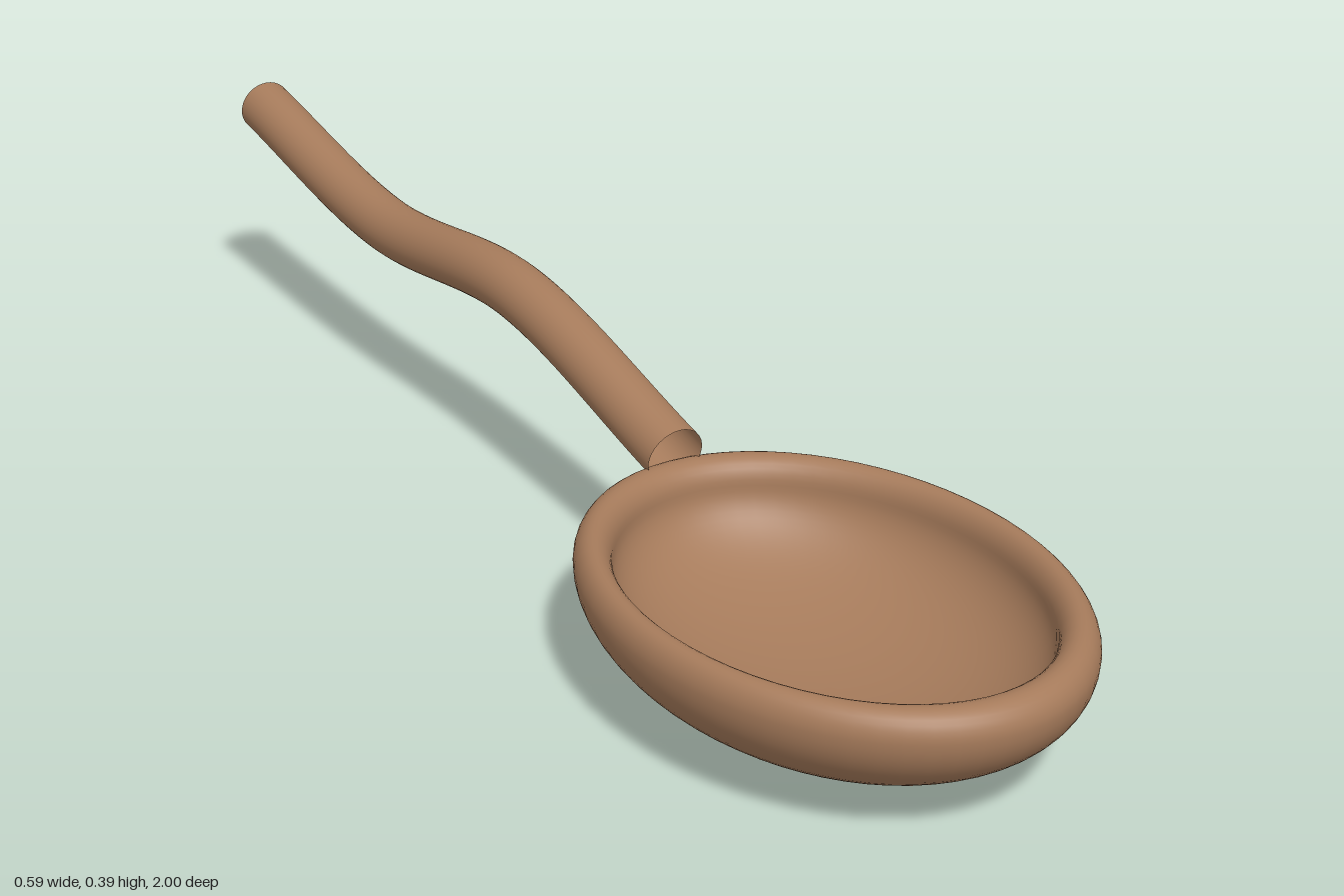
import * as THREE from 'three';

const wood = new THREE.MeshStandardMaterial({ color: 0xa67b5b, side: THREE.DoubleSide });

// Quarter or half ellipse in the profile plane, from angle a0 to a1
function arc(cx, cy, rx, ry, a0, a1, steps) {
  const points = [];
  for (let i = 0; i <= steps; i++) {
    const a = a0 + (a1 - a0) * (i / steps);
    points.push(new THREE.Vector2(Math.max(0, cx + rx * Math.cos(a)), cy + ry * Math.sin(a)));
  }
  return points;
}

// Thick oval bowl: outer shell, rounded rim, steep-sided hollow
function makeBowl() {
  const outer = 0.294, inner = 0.248, rimY = 0.165, floorY = 0.035;
  const mid = (outer + inner) / 2, half = (outer - inner) / 2;
  const profile = [
    ...arc(0, rimY, outer, rimY, -Math.PI / 2, 0, 24),
    ...arc(mid, rimY, half, 0.035, 0, Math.PI, 14).slice(1),
    ...arc(0, rimY, inner, rimY - floorY, 0, -Math.PI / 2, 24).slice(1),
  ];
  const bowl = new THREE.Mesh(new THREE.LatheGeometry(profile, 64), wood);
  bowl.name = 'bowl';
  bowl.scale.z = 1.342; // oval from above
  bowl.position.z = 0.605;
  return bowl;
}

// Gently waved round handle, open at both ends
function makeHandle() {
  const path = new THREE.CatmullRomCurve3([
    new THREE.Vector3(0, 0.212, 0.247),
    new THREE.Vector3(0, 0.304, -0.165),
    new THREE.Vector3(0, 0.275, -0.577),
    new THREE.Vector3(0, 0.344, -0.992),
  ]);
  const handle = new THREE.Mesh(new THREE.TubeGeometry(path, 64, 0.0425, 32, false), wood);
  handle.name = 'handle';
  return handle;
}

export function createModel() {
  const spoon = new THREE.Group();
  spoon.name = 'spoon';
  spoon.add(makeBowl(), makeHandle());
  return spoon;
}
